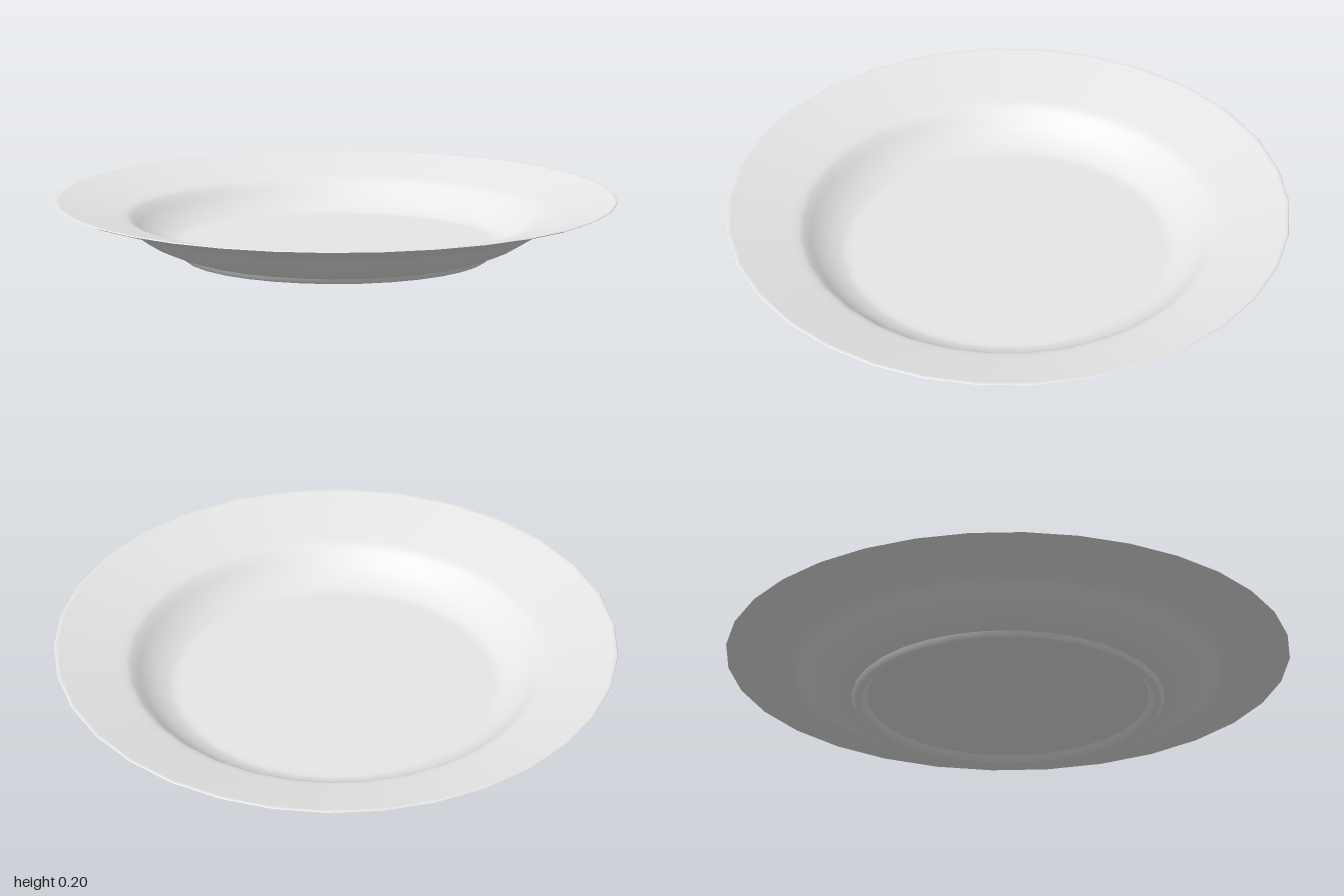
import * as THREE from 'three';

const SEGMENTS = 32;
const PHI_START = THREE.MathUtils.degToRad(2.9);

// Revolves a [radius, height] profile; run it outward for a downward face, inward for an upward one
function turned(name, profile, material) {
  const points = profile.map(([r, y]) => new THREE.Vector2(r, y));
  const mesh = new THREE.Mesh(new THREE.LatheGeometry(points, SEGMENTS, PHI_START), material);
  mesh.name = name;
  return mesh;
}

export function createModel() {
  const porcelain = new THREE.MeshStandardMaterial({ color: 0xe7e7e7 });
  porcelain.name = 'porcelain';

  const plate = new THREE.Group();
  plate.name = 'plate';

  // Recessed base panel inside the foot
  plate.add(turned('basePanel', [[0, 0.023], [0.5, 0.023]], porcelain));

  // Foot ring, rounded at its bottom
  plate.add(turned('footRing', [
    [0.5, 0.023], [0.515, 0.006], [0.525, 0], [0.54, 0], [0.547, 0.006], [0.555, 0.02],
  ], porcelain));

  // Outer side of the bowl and rim, up to the lip
  plate.add(turned('underside', [
    [0.555, 0.02], [0.61, 0.038], [0.66, 0.06], [0.71, 0.09],
    [0.745, 0.118], [0.77, 0.131], [0.8, 0.14], [0.985, 0.191], [1, 0.197],
  ], porcelain));

  // Eating surface: lip, sloping rim, well wall and flat floor
  plate.add(turned('topSurface', [
    [1, 0.197], [0.997, 0.2], [0.985, 0.199], [0.77, 0.152], [0.745, 0.147], [0.725, 0.138],
    [0.7, 0.116], [0.67, 0.091], [0.63, 0.068], [0.59, 0.053], [0.57, 0.05], [0.55, 0.05], [0, 0.05],
  ], porcelain));

  return plate;
}
